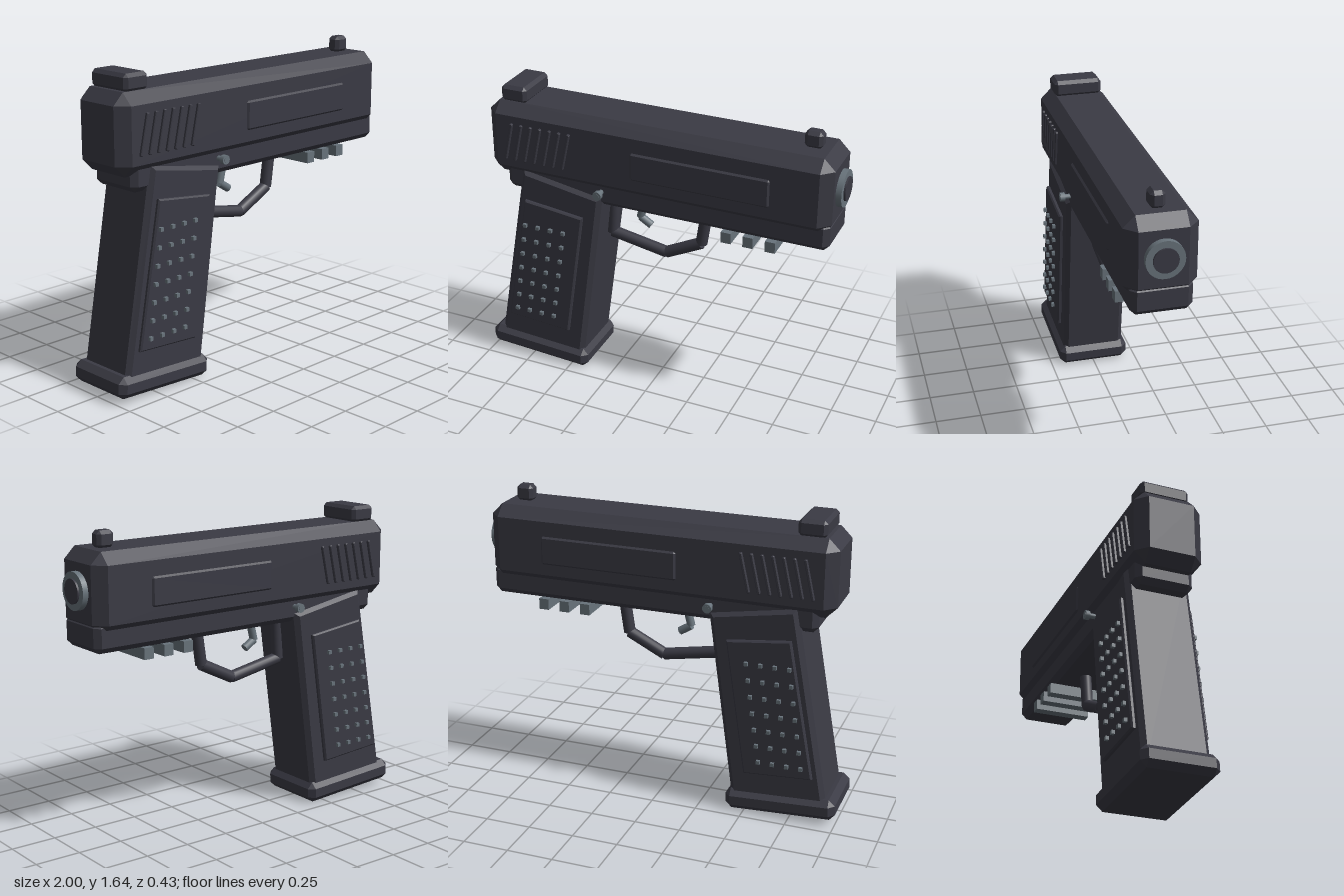
import * as THREE from 'three';
import { ConvexGeometry } from 'three/addons/geometries/ConvexGeometry.js';

export function createModel() {
  const root = new THREE.Group();
  const gunmetal = new THREE.MeshStandardMaterial({ color: 0x3a3a44 });
  gunmetal.name = 'gunmetal';
  const steel = new THREE.MeshStandardMaterial({ color: 0x68737b });
  steel.name = 'steel';

  const add = (name, geometry, material, x = 0, y = 0, z = 0) => {
    const mesh = new THREE.Mesh(geometry, material);
    mesh.name = name;
    mesh.position.set(x, y, z);
    root.add(mesh);
    return mesh;
  };

  // Box with every edge cut at 45 degrees
  const chamferBox = (w, h, d, c) => {
    const half = [w / 2, h / 2, d / 2];
    const points = [];
    for (const sx of [-1, 1]) for (const sy of [-1, 1]) for (const sz of [-1, 1]) {
      for (let axis = 0; axis < 3; axis++) {
        const [x, y, z] = half.map((v, i) => (i === axis ? v : v - c));
        points.push(new THREE.Vector3(sx * x, sy * y, sz * z));
      }
    }
    return new ConvexGeometry(points);
  };

  // Chamfered box given by its limits in x and y
  const block = (name, x0, x1, y0, y1, depth, c) =>
    add(name, chamferBox(x1 - x0, y1 - y0, depth, c), gunmetal, (x0 + x1) / 2, (y0 + y1) / 2);

  // Side outline extruded through z with a bevelled rim
  const slab = (outline, depth, bevel) => {
    const shape = new THREE.Shape(outline.map(([x, y]) => new THREE.Vector2(x, y)));
    const geometry = new THREE.ExtrudeGeometry(shape, {
      depth: depth - 2 * bevel, bevelEnabled: true, bevelThickness: bevel,
      bevelSize: bevel, bevelOffset: -bevel, bevelSegments: 1,
    });
    return geometry.translate(0, 0, bevel - depth / 2);
  };

  // Straight round bars between successive points in the centre plane
  const bars = (name, path, radius, material) => {
    for (let i = 0; i + 1 < path.length; i++) {
      const a = new THREE.Vector3(...path[i], 0);
      const b = new THREE.Vector3(...path[i + 1], 0);
      const dir = b.clone().sub(a);
      const bar = add(name, new THREE.CylinderGeometry(radius, radius, dir.length(), 16), material);
      bar.position.copy(a).add(b).multiplyScalar(0.5);
      bar.quaternion.setFromUnitVectors(new THREE.Vector3(0, 1, 0), dir.normalize());
    }
  };

  // Upper body and sights
  block('slide', -0.95, 0.96, 1.145, 1.56, 0.365, 0.06);
  block('frame', -0.86, 0.957, 1.06, 1.22, 0.31, 0.03);
  block('rearSight', -0.88, -0.73, 1.555, 1.645, 0.265, 0.018);
  block('frontSight', 0.765, 0.86, 1.555, 1.645, 0.075, 0.018);

  // Muzzle ring and bore
  const disc = (name, radius, x0, x1, material) => {
    const mesh = add(name, new THREE.CylinderGeometry(radius, radius, x1 - x0, 32), material, (x0 + x1) / 2, 1.36);
    mesh.rotation.z = -Math.PI / 2;
  };
  disc('muzzleRing', 0.097, 0.95, 0.99, steel);
  disc('muzzleBore', 0.063, 0.95, 1.0, gunmetal);

  // Slanted grip body and base plate
  add('grip', slab([[-0.95, 0.1], [-0.425, 0.08], [-0.285, 1.11], [-0.755, 1.19]], 0.35, 0.025), gunmetal);
  const base = add('basePlate', chamferBox(0.605, 0.115, 0.4, 0.032), gunmetal, -0.698, 0.074);
  base.rotation.z = -0.055;

  // Details repeated on both sides
  for (const side of [1, -1]) {
    add('slidePanel', chamferBox(0.76, 0.155, 0.03, 0.01), gunmetal, 0.27, 1.343, side * 0.177);

    for (let i = 0; i < 7; i++) {
      const groove = add('serration', chamferBox(0.017, 0.215, 0.03, 0.004), gunmetal,
        -0.815 + i * 0.056, 1.355, side * 0.182);
      groove.rotation.z = -0.22;
    }

    add('gripPanel', slab([[-0.875, 0.26], [-0.5, 0.235], [-0.39, 0.98], [-0.735, 1.02]], 0.028, 0.008),
      gunmetal, 0, 0, side * 0.184);

    for (let row = 0; row < 7; row++) for (let col = 0; col < 4; col++) {
      add('gripStud', new THREE.BoxGeometry(0.02, 0.02, 0.03), steel,
        -0.735 - row * 0.0133 + col * 0.077, 0.87 - row * 0.0917, side * 0.2);
    }

    const pin = add('pinHead', new THREE.CylinderGeometry(0.025, 0.025, 0.025, 12), steel, -0.29, 1.145, side * 0.2);
    pin.rotation.x = Math.PI / 2;
  }
  const shaft = add('pinShaft', new THREE.CylinderGeometry(0.014, 0.014, 0.43, 12), steel, -0.29, 1.145, 0);
  shaft.rotation.x = Math.PI / 2;

  // Trigger guard and trigger
  bars('triggerGuard', [[-0.285, 1.1], [-0.3, 0.83], [0.02, 0.772], [0.222, 0.873], [0.255, 1.1]], 0.032, gunmetal);
  bars('trigger', [[-0.1, 1.09], [-0.133, 0.957], [-0.07, 0.918]], 0.022, steel);

  // Accessory rail bars under the frame
  for (let i = 0; i < 3; i++) {
    add('railBar', new THREE.BoxGeometry(0.055, 0.06, 0.32), steel, 0.417 + i * 0.12, 1.03);
  }

  // Centre and stand on the ground
  const box = new THREE.Box3().setFromObject(root, true);
  const centre = box.getCenter(new THREE.Vector3());
  const model = new THREE.Group();
  model.name = 'model';
  root.position.set(-centre.x, -box.min.y, -centre.z);
  model.add(root);
  return model;
}
